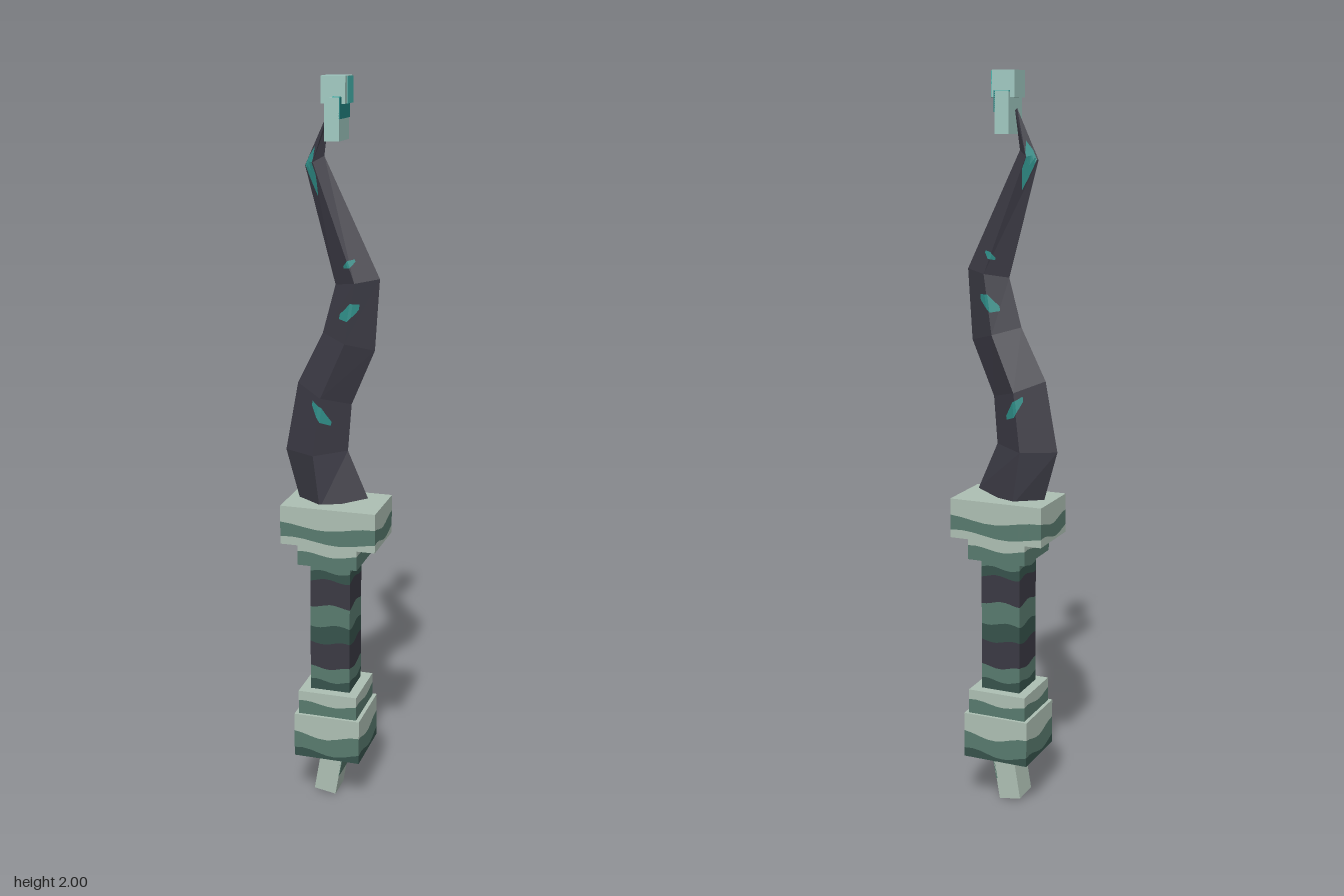
import * as THREE from 'three';

const mat = (name, color, extra = {}) => {
  const m = new THREE.MeshStandardMaterial({ color, ...extra });
  m.name = name;
  return m;
};

function flatGeometry(positions) {
  const g = new THREE.BufferGeometry();
  g.setAttribute('position', new THREE.Float32BufferAttribute(positions, 3));
  g.computeVertexNormals();
  return g;
}

export function createModel() {
  const light = mat('pale stone', 0xadbfb3);
  const mid = mat('green stone', 0x587a6e);
  const deep = mat('deep green stone', 0x36524b);
  const dark = mat('dark metal', 0x3a3943);
  const glow = mat('blade teal', 0x2f8f89, { side: THREE.DoubleSide });
  const pale = mat('pale teal', 0xa0c9c1);
  const bright = mat('bright teal', 0x48b8b1);
  const deepTeal = mat('deep teal', 0x218481);

  const model = new THREE.Group();
  model.name = 'wavyDagger';
  const add = (name, geometry, material, parent = model) => {
    const m = new THREE.Mesh(geometry, material);
    m.name = name;
    parent.add(m);
    return m;
  };
  const box = (name, x0, x1, y0, y1, z0, z1, material) =>
    add(name, new THREE.BoxGeometry(x1 - x0, y1 - y0, z1 - z0), material)
      .position.set((x0 + x1) / 2, (y0 + y1) / 2, (z0 + z1) / 2);

  // Box cut into wavy horizontal bands, one mesh per band, bottom to top
  function bandedBox(name, [x0, x1], [z0, z1], levels, mats, wave) {
    const group = new THREE.Group();
    group.name = name;
    model.add(group);
    const corners = [[x0, z1], [x1, z1], [x1, z0], [x0, z0]];
    const N = 8, ring = [];
    for (let s = 0; s < 4; s++)
      for (let i = 0; i < N; i++) {
        const a = corners[s], b = corners[(s + 1) % 4], t = i / N;
        ring.push([a[0] + (b[0] - a[0]) * t, a[1] + (b[1] - a[1]) * t]);
      }
    const last = levels.length - 1;
    const point = (k, i) => {
      const j = i % ring.length;
      const w = k === 0 || k === last ? 0 : wave * Math.sin((j / N) * Math.PI * 2 + k * 0.9);
      return [ring[j][0], levels[k] + w, ring[j][1]];
    };
    mats.forEach((m, k) => {
      const p = [];
      for (let i = 0; i < ring.length; i++) {
        const a = point(k, i), b = point(k, i + 1), c = point(k + 1, i + 1), d = point(k + 1, i);
        p.push(...a, ...b, ...c, ...a, ...c, ...d);
      }
      const cap = (y, order) => order.forEach(i => p.push(corners[i][0], y, corners[i][1]));
      if (k === 0) cap(levels[0], [0, 2, 1, 0, 3, 2]);
      if (k === last - 1) cap(levels[last], [0, 1, 2, 0, 2, 3]);
      add(name + 'Band' + (k + 1), flatGeometry(p), m, group);
    });
  }

  // Hilt
  bandedBox('pommel', [-0.092, 0.096], [-0.094, 0.094], [0.137, 0.155, 0.205, 0.265], [deep, mid, light], 0.009);
  bandedBox('pommelCollar', [-0.082, 0.085], [-0.085, 0.085], [0.265, 0.3, 0.333], [mid, light], 0.006);
  bandedBox('grip', [-0.055, 0.058], [-0.057, 0.057],
    [0.33, 0.36, 0.4, 0.475, 0.525, 0.585, 0.66, 0.685, 0.715],
    [deep, mid, dark, deep, mid, dark, deep, mid], 0.005);
  bandedBox('guardCollar', [-0.082, 0.085], [-0.085, 0.085], [0.71, 0.745, 0.768], [mid, light], 0.006);
  bandedBox('guard', [-0.13, 0.136], [-0.088, 0.088], [0.767, 0.783, 0.823, 0.876], [light, mid, light], 0.008);

  // Tilted stub under the pommel
  const stub = add('pommelStub', new THREE.BoxGeometry(0.063, 0.16, 0.08), light);
  stub.position.set(-0.006, 0.0845, 0);
  stub.rotation.z = -0.165;
  const stubPlate = add('stubSidePlate', new THREE.BoxGeometry(0.004, 0.09, 0.08), mid, stub);
  stubPlate.position.set(0.031, 0.025, 0);

  // Blade: diamond sections [leftX, leftY, ridgeX, ridgeY, rightX, rightY, halfThickness]
  const stations = [
    [-0.1, 0.865, -0.03, 0.865, 0.092, 0.89, 0.05],
    [-0.14, 1.01, -0.05, 1.01, 0.035, 1.02, 0.047],
    [-0.105, 1.2, -0.03, 1.17, 0.045, 1.15, 0.043],
    [-0.035, 1.34, 0.035, 1.32, 0.108, 1.3, 0.038],
    [0, 1.47, 0.06, 1.48, 0.12, 1.49, 0.032],
    [-0.082, 1.775, -0.055, 1.785, -0.03, 1.8, 0.021],
    [-0.022, 1.905, -0.02, 1.9, -0.018, 1.895, 0.009],
  ];
  const section = ([lx, ly, cx, cy, rx, ry, h]) => [[lx, ly, 0], [cx, cy, h], [rx, ry, 0], [cx, cy, -h]];
  const blade = [];
  for (let k = 0; k < stations.length - 1; k++) {
    const s = section(stations[k]), t = section(stations[k + 1]);
    for (let i = 0; i < 4; i++) {
      const j = (i + 1) % 4;
      blade.push(...s[i], ...s[j], ...t[j], ...s[i], ...t[j], ...t[i]);
    }
  }
  const [b0, b1, b2, b3] = section(stations[0]);
  blade.push(...b0, ...b2, ...b1, ...b0, ...b3, ...b2);
  const [t0, t1, t2, t3] = section(stations[stations.length - 1]);
  blade.push(...t0, ...t1, ...t2, ...t0, ...t2, ...t3);
  add('blade', flatGeometry(blade), dark);

  // Point on the blade face: u from edge to edge (-1..1), v along the stations
  function onBlade(u, v, side) {
    const k = Math.min(Math.floor(v), stations.length - 2);
    const s = stations[k].map((a, i) => a + (stations[k + 1][i] - a) * (v - k));
    const e = u < 0 ? 0 : 4, w = Math.abs(u);
    return [s[2] + (s[e] - s[2]) * w, s[3] + (s[e + 1] - s[3]) * w, side * (s[6] * (1 - w) + 0.003)];
  }

  // Teal flecks laid on both faces: [u, v, halfU, halfV, slant]
  [
    [0.08, 1.72, 0.36, 0.13, -0.14],
    [-0.05, 3.52, 0.38, 0.15, 0.1],
    [0.05, 4.16, 0.32, 0.03, 0.02],
    [-0.5, 5.05, 0.42, 0.32, -0.05],
  ].forEach(([u, v, du, dv, slant], n) => {
    for (const side of [1, -1]) {
      const p = [], N = 6;
      const at = (i, j) => {
        const s = (i / N) * 2 - 1, t = (j / N) * 2 - 1;
        return onBlade(u + s * du, v + t * dv * (1 - 0.7 * Math.abs(s)) + slant * s, side);
      };
      for (let i = 0; i < N; i++)
        for (let j = 0; j < N; j++) {
          const a = at(i, j), b = at(i + 1, j), c = at(i + 1, j + 1), d = at(i, j + 1);
          if (side > 0) p.push(...a, ...b, ...c, ...a, ...c, ...d);
          else p.push(...a, ...c, ...b, ...a, ...d, ...c);
        }
      add('bladeFleck' + (n + 1) + (side > 0 ? 'Front' : 'Back'), flatGeometry(p), glow);
    }
  });

  // Crystal blocks at the tip, with teal plates on one side
  box('tipLowerBlock', -0.017, 0.022, 1.84, 1.948, -0.044, 0.044, pale);
  box('tipUpperBlock', -0.029, 0.035, 1.932, 2, -0.033, 0.033, pale);
  box('tipLowerPlate', 0.021, 0.025, 1.895, 1.948, -0.044, 0.044, deepTeal);
  box('tipUpperPlate', 0.034, 0.037, 1.932, 1.998, -0.033, 0.015, bright);
  for (const [name, z0, z1] of [['Back', -0.044, -0.033], ['Front', 0.033, 0.044]])
    box('tipLedge' + name, name === 'Back' ? -0.017 : 0.004, 0.024, 1.946, 1.95, z0, z1, bright);

  return model;
}
